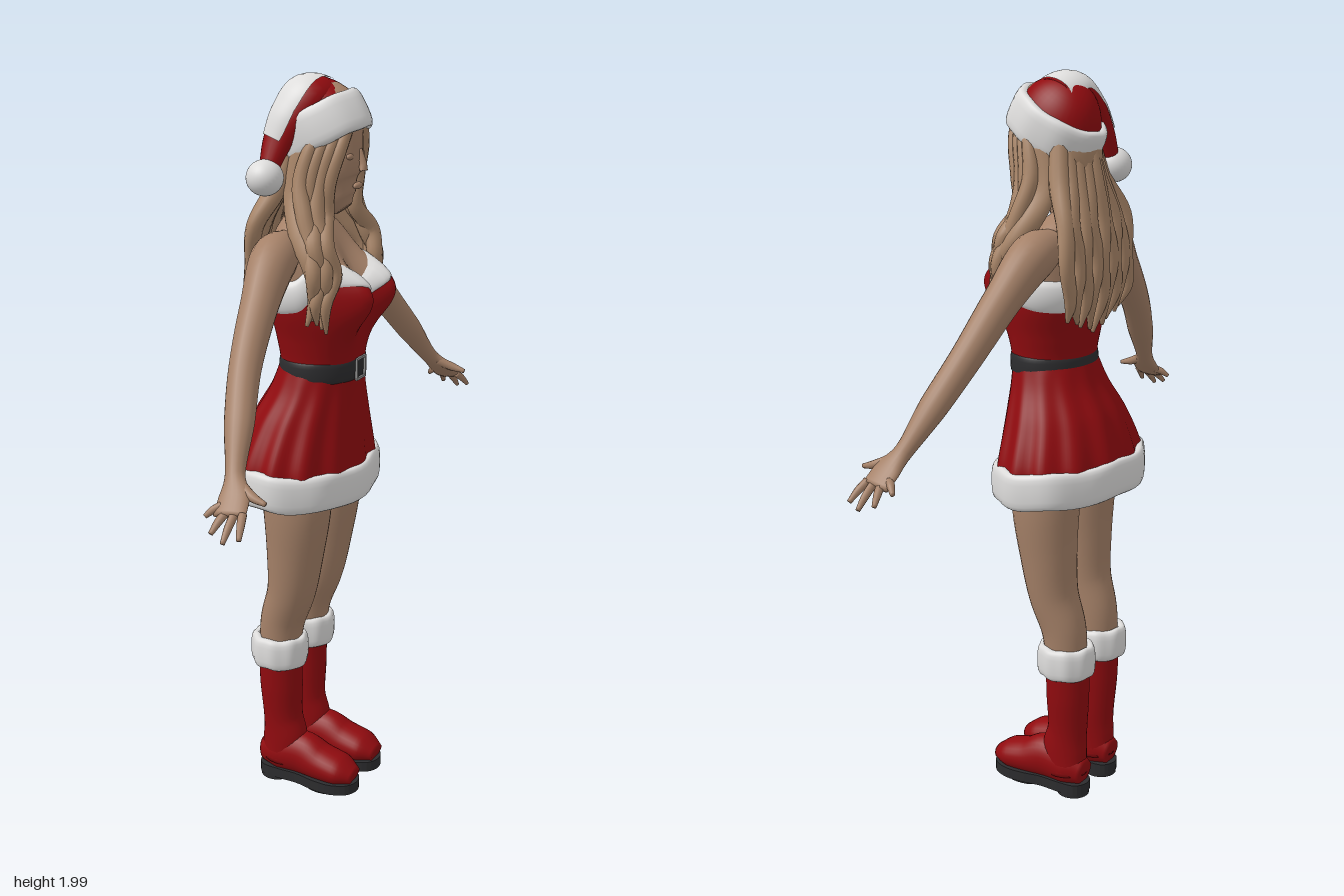
import * as THREE from 'three';

const material = (name, color, side = THREE.FrontSide) =>
  Object.assign(new THREE.MeshStandardMaterial({ color, side }), { name });

// Smooth interpolation through rows of [t, value, value, ...]
function key(rows, t) {
  let i = 0;
  while (i < rows.length - 2 && t > rows[i + 1][0]) i++;
  const p = rows[i], q = rows[i + 1], o = rows[i - 1] || p, r = rows[i + 2] || q;
  const h = q[0] - p[0], s = THREE.MathUtils.clamp((t - p[0]) / h, 0, 1);
  const s2 = s * s, s3 = s2 * s;
  return p.slice(1).map((a, k) => {
    const b = q[k + 1];
    const m = (b - o[k + 1]) / (q[0] - o[0]) * h, n = (r[k + 1] - a) / (r[0] - p[0]) * h;
    return (2 * s3 - 3 * s2 + 1) * a + (s3 - 2 * s2 + s) * m + (3 * s2 - 2 * s3) * b + (s3 - s2) * n;
  });
}

// Surface from f(u, j): u runs round (closed when wrap), j counts the rings
function grid(nu, nv, f, wrap = true) {
  const pos = [], idx = [], cols = wrap ? nu : nu + 1;
  for (let j = 0; j <= nv; j++) for (let i = 0; i < cols; i++) pos.push(...f(i / nu, j));
  for (let j = 0; j < nv; j++) for (let i = 0; i < nu; i++) {
    const a = j * cols + i, b = j * cols + (i + 1) % cols;
    idx.push(a, b, b + cols, a, b + cols, a + cols);
  }
  const g = new THREE.BufferGeometry();
  g.setAttribute('position', new THREE.Float32BufferAttribute(pos, 3));
  g.setIndex(idx);
  g.computeVertexNormals();
  return g;
}

// Tapered tube through [x, y, z, a, b]; a is the radius along ref, b across it
function sweep(pts, ref, { sides = 20, steps = 6, from = 0, arc = Math.PI * 2, grow = 0 } = {}) {
  const path = new THREE.CatmullRomCurve3(pts.map(p => new THREE.Vector3(p[0], p[1], p[2])));
  const rad = new THREE.CatmullRomCurve3(pts.map(p => new THREE.Vector3(p[3], p[4], 0)));
  const n = (pts.length - 1) * steps, full = arc > 6.28;
  const rings = [];
  for (let i = 0; i <= n; i++) {
    const t = i / n, T = path.getTangent(t), A = ref.clone().addScaledVector(T, -ref.dot(T)).normalize();
    rings.push({ c: path.getPoint(t), r: rad.getPoint(t), A, B: T.clone().cross(A) });
  }
  const ends = full ? 1 : 0;
  return grid(sides, n + 2 * ends, (u, j) => {
    const k = THREE.MathUtils.clamp(j - ends, 0, n), { c, r, A, B } = rings[k];
    const s = full && (j === 0 || j === n + 2) ? 0 : 1, w = from + u * arc;
    return c.clone().addScaledVector(A, s * (r.x + grow) * Math.cos(w))
      .addScaledVector(B, s * (r.y + grow) * Math.sin(w)).toArray();
  }, full);
}

// Oval ring point at height y from rows of [y, half width, back z, front z]
function oval(rows, w, y, grow = 0, pleat = 0) {
  const [rx, zb, zf] = key(rows, y), k = 1 + pleat * Math.cos(13 * w);
  return [(rx + grow) * k * Math.sin(w), y, (zb + zf) / 2 + ((zf - zb) / 2 + grow) * k * Math.cos(w)];
}

// Puffy band following an oval
function band(rx, zb, zf, thick, high, slant = 0, wave = 0) {
  return grid(56, 18, (u, j) => {
    const w = u * Math.PI * 2, p = -Math.PI + j / 18 * Math.PI * 2;
    const soft = v => Math.sign(v) * Math.abs(v) ** 0.7;
    const out = thick * soft(Math.cos(p)) + wave * Math.cos(9 * w);
    return [(rx + out) * Math.sin(w), high * soft(Math.sin(p)) - slant * Math.cos(w) + wave * Math.sin(7 * w),
      (zb + zf) / 2 + ((zf - zb) / 2 + out) * Math.cos(w)];
  });
}

const torsoRows = [[0.88, 0.05, -0.04, 0.04], [0.93, 0.165, -0.12, 0.1], [1.1, 0.14, -0.1, 0.11], [1.24, 0.12, -0.075, 0.123],
  [1.32, 0.13, -0.085, 0.125], [1.4, 0.148, -0.1, 0.12], [1.48, 0.153, -0.105, 0.1], [1.56, 0.148, -0.1, 0.07],
  [1.61, 0.11, -0.085, 0.04], [1.64, 0.055, -0.07, 0.015]];
const skirtRows = [[0.94, 0.238, -0.193, 0.143], [1, 0.228, -0.185, 0.137], [1.1, 0.185, -0.15, 0.13],
  [1.18, 0.146, -0.105, 0.126], [1.25, 0.123, -0.078, 0.125]];
const trimTop = [[0, 1.46], [0.45, 1.525], [0.9, 1.53], [1.4, 1.49], [Math.PI, 1.475]];
const trimLow = [[0, 1.41], [0.45, 1.472], [0.9, 1.465], [1.4, 1.405], [Math.PI, 1.385]];

// Torso surface with the bust added at the front
function torso(w, y, grow) {
  const p = oval(torsoRows, w, y, grow);
  const dy = (y - 1.455) / (y < 1.455 ? 0.1 : 0.075), dx = (Math.abs(p[0]) - 0.075) / 0.05;
  p[2] += 0.105 * Math.exp(-dx * dx - dy * dy) * Math.sqrt(Math.max(0, Math.cos(w)));
  return p;
}
function torsoPatch(low, high, rows, grow) {
  return grid(72, rows, (u, j) => {
    const w = u * Math.PI * 2, c = Math.min(w, Math.PI * 2 - w), v = j / rows;
    return torso(w, THREE.MathUtils.lerp(low(c), high(c), v), grow(v));
  });
}

export function createModel() {
  const skin = material('skin', 0xa58168), hair = material('hair', 0xa88568);
  const red = material('red cloth', 0x900b0f, THREE.DoubleSide), white = material('white fur', 0xdedddc, THREE.DoubleSide);
  const black = material('black leather', 0x2c2c2e), silver = material('buckle metal', 0x8c8c8c);
  const X = new THREE.Vector3(1, 0, 0), Z = new THREE.Vector3(0, 0, 1);
  const body = new THREE.Group();
  body.name = 'figure';
  const add = (name, geo, mat, x = 0, y = 0, z = 0, parent = body) => {
    const m = new THREE.Mesh(geo, mat);
    m.name = name;
    m.position.set(x, y, z);
    parent.add(m);
    return m;
  };
  const ball = (name, mat, x, y, z, rx, ry, rz) =>
    add(name, new THREE.SphereGeometry(1, 32, 20), mat, x, y, z).scale.set(rx, ry, rz);

  // Torso and dress
  add('torso', torsoPatch(() => 0.88, () => 1.64, 44, () => 0), skin);
  add('bodice', torsoPatch(() => 1.2, c => key(trimLow, c)[0] + 0.008, 24, () => 0.007), red);
  add('bodiceTrim', torsoPatch(c => key(trimLow, c)[0], c => key(trimTop, c)[0], 10,
    v => 0.001 + 0.015 * Math.sin(Math.PI * v) ** 0.5), white);
  add('skirt', grid(130, 18, (u, j) => {
    const y = 0.94 + j / 18 * 0.3;
    return oval(skirtRows, u * Math.PI * 2, y, 0.004, 0.035 * (1 - j / 18) ** 0.6);
  }), red);
  add('skirtHem', band(0.238, -0.193, 0.143, 0.017, 0.05, 0.01, 0.003), white, 0, 0.938, 0);
  add('belt', band(0.121, -0.073, 0.124, 0.012, 0.031), black, 0, 1.24, 0);
  const frame = new THREE.Shape([[-0.027, -0.03], [0.027, -0.03], [0.027, 0.03], [-0.027, 0.03]].map(p => new THREE.Vector2(...p)));
  frame.holes.push(new THREE.Path([[-0.021, -0.024], [-0.021, 0.024], [0.021, 0.024], [0.021, -0.024]].map(p => new THREE.Vector2(...p))));
  add('buckle', new THREE.ExtrudeGeometry(frame, { depth: 0.006, bevelEnabled: false }), silver, 0, 1.24, 0.134);

  // Neck, head and face
  add('neck', sweep([[0, 1.58, -0.03, 0.065, 0.05], [0, 1.65, -0.015, 0.045, 0.045], [0, 1.73, 0.005, 0.045, 0.05]], X), skin);
  add('head', sweep([[0, 1.655, 0.085, 0.02, 0.025], [0, 1.675, 0.07, 0.04, 0.052], [0, 1.72, 0.045, 0.062, 0.083],
    [0, 1.78, 0.035, 0.074, 0.097], [0, 1.85, 0.03, 0.078, 0.1], [0, 1.92, 0.02, 0.07, 0.09], [0, 1.96, 0.01, 0.04, 0.05]], X, { sides: 32 }), skin);
  add('nose', sweep([[0, 1.81, 0.126, 0.007, 0.008], [0, 1.775, 0.137, 0.009, 0.01], [0, 1.757, 0.139, 0.014, 0.01]], X, { sides: 12 }), skin);
  ball('lips', skin, 0, 1.718, 0.123, 0.022, 0.009, 0.009);

  // Hat: dome and brim tilt back together, the tail droops to the right
  const hat = new THREE.Group();
  hat.name = 'hat';
  hat.position.set(0, 1.855, 0.018);
  hat.rotation.x = -0.5;
  body.add(hat);
  add('hatDome', new THREE.SphereGeometry(1, 40, 14, 0, Math.PI * 2, 0, Math.PI / 2), red, 0, 0, 0, hat).scale.set(0.1, 0.13, 0.118);
  add('hatBrim', band(0.094, -0.117, 0.117, 0.018, 0.052, 0, 0.001), white, 0, 0, 0, hat);
  const tail = [[0.03, 1.925, 0.01, 0.07, 0.05], [-0.03, 1.935, 0, 0.068, 0.054], [-0.075, 1.895, -0.025, 0.055, 0.04],
    [-0.105, 1.83, -0.05, 0.04, 0.028], [-0.13, 1.765, -0.062, 0.026, 0.022]];
  add('hatTail', sweep(tail, Z), red);
  add('hatTailPatch', sweep(tail.slice(0, 4), Z, { from: Math.PI / 2 - 0.5, arc: 1.9, grow: 0.004 }), white);
  ball('pompom', white, -0.147, 1.745, -0.064, 0.048, 0.046, 0.048);

  // Hair: back cap and wavy back locks
  ball('hairCap', hair, 0, 1.79, -0.008, 0.094, 0.15, 0.098);
  for (let k = -4; k <= 4; k++) {
    const w = 0.008 * (k % 2 ? 1 : -1), e = Math.abs(k);
    add('backLock', sweep([[k * 0.017, 1.84, -0.07 + e * 0.009, 0.022, 0.025], [k * 0.024, 1.72, -0.095 + e * 0.01, 0.026, 0.028],
      [k * 0.034 + w, 1.62, -0.115 + e * 0.005, 0.027, 0.022], [k * 0.035 - w, 1.52, -0.128 + e * 0.004, 0.025, 0.018],
      [k * 0.034 + w, 1.43, -0.122 + e * 0.003, 0.02, 0.015], [k * 0.03 - w, 1.33 + 0.012 * e, -0.1, 0.005, 0.005]], X, { sides: 12 }), hair);
  }

  for (const s of [-1, 1]) {
    const tube = (name, pts, mat, ref, opt) => add(name, sweep(pts.map(([x, ...r]) => [s * x, ...r]), ref, opt), mat);
    ball('eyelid', skin, s * 0.03, 1.795, 0.116, 0.016, 0.009, 0.009);

    // Locks framing the face and falling outside the bust
    for (let i = 0; i < 4; i++) {
      const o = i * 0.011, w = i % 2 ? 0.012 : -0.006;
      tube('frontLock', [[0.025 + o, 1.895, 0.118 - o * 1.4, 0.015, 0.014], [0.063 + o, 1.82, 0.105 - o * 2, 0.018, 0.018],
        [0.083 + o, 1.73, 0.08 - o * 1.8, 0.02, 0.022], [0.09 + o + w, 1.65, 0.075 - o, 0.022, 0.022],
        [0.125 + o - w, 1.58, 0.1 - o, 0.024, 0.022], [0.125 + o + w, 1.51, 0.118 - o, 0.021, 0.02],
        [0.143 + o * 0.6 - w, 1.44, 0.11 - o, 0.017, 0.016], [0.138 + o * 0.4, 1.36 + o, 0.105 - o, 0.004, 0.004]], hair, X, { sides: 12 });
    }
    tube('sideLock', [[0.085, 1.82, 0.02, 0.02, 0.04], [0.095, 1.7, 0, 0.022, 0.04], [0.135, 1.6, 0.035, 0.03, 0.034],
      [0.155, 1.54, 0.07, 0.026, 0.026], [0.15, 1.47, 0.08, 0.016, 0.02], [0.158, 1.38, 0.06, 0.005, 0.005]], hair, X, { sides: 14 });

    // Arm with flat palm
    const handY = x => 1.11 - 0.88 * (x - 0.575);
    tube('arm', [[0.09, 1.57, -0.03, 0.045, 0.04], [0.175, 1.545, -0.025, 0.06, 0.062], [0.28, 1.455, -0.008, 0.048, 0.05],
      [0.4, 1.328, 0.018, 0.041, 0.041], [0.49, 1.22, 0.052, 0.038, 0.034], [0.57, 1.12, 0.085, 0.025, 0.021],
      [0.61, handY(0.61), 0.105, 0.04, 0.016], [0.648, handY(0.648), 0.113, 0.042, 0.012]], skin, Z);
    for (const [x, z, tx, tz] of [[0.64, 0.144, 0.69, 0.162], [0.645, 0.123, 0.702, 0.125], [0.64, 0.101, 0.688, 0.085], [0.63, 0.083, 0.657, 0.052]])
      tube('finger', [[x, handY(x), z, 0.011, 0.011], [(x + tx) / 2, handY((x + tx) / 2) + 0.003, (z + tz) / 2, 0.01, 0.01],
        [tx, handY(tx), tz, 0.006, 0.006]], skin, X, { sides: 10 });
    tube('thumb', [[0.582, handY(0.582), 0.105, 0.014, 0.014], [0.6, handY(0.6) - 0.004, 0.148, 0.013, 0.012],
      [0.605, handY(0.605) - 0.01, 0.186, 0.006, 0.006]], skin, X, { sides: 10 });

    // Leg
    tube('leg', [[0.08, 0.38, -0.068, 0.055, 0.056], [0.08, 0.5, -0.058, 0.062, 0.062], [0.084, 0.6, -0.027, 0.071, 0.067],
      [0.088, 0.72, -0.013, 0.079, 0.079], [0.09, 0.85, -0.006, 0.087, 0.094], [0.09, 0.96, -0.01, 0.085, 0.1]], skin, X, { sides: 28 });

    // Boot, cuff, sole and heel
    tube('bootShaft', [[0.072, 0.06, -0.062, 0.05, 0.062], [0.071, 0.13, -0.056, 0.05, 0.066], [0.07, 0.2, -0.064, 0.051, 0.057],
      [0.074, 0.3, -0.067, 0.057, 0.061], [0.076, 0.41, -0.068, 0.06, 0.062]], red, X, { sides: 28 });
    tube('bootFoot', [[0.072, 0.07, -0.122, 0.032, 0.036], [0.072, 0.08, -0.07, 0.05, 0.06], [0.072, 0.088, 0, 0.052, 0.065],
      [0.073, 0.075, 0.06, 0.057, 0.052], [0.073, 0.066, 0.12, 0.057, 0.042], [0.072, 0.055, 0.165, 0.032, 0.022]], red, X, { sides: 28 });
    add('bootCuff', band(0.062, -0.066, 0.066, 0.015, 0.045, 0, 0.0015), white, s * 0.081, 0.415, -0.067);
    const half = [[0.036, -0.115], [0.045, -0.06], [0.045, 0], [0.057, 0.06], [0.058, 0.115], [0.036, 0.16]];
    const outline = [[0, -0.132], ...half, [0, 0.174], ...half.slice().reverse().map(([x, z]) => [-x, z])];
    const curve = new THREE.CatmullRomCurve3(outline.map(([x, z]) => new THREE.Vector3(x, z, 0)), true);
    const print = new THREE.Shape(curve.getPoints(48).slice(0, -1).map(p => new THREE.Vector2(p.x, p.y)));
    const sole = new THREE.ExtrudeGeometry(print, { depth: 0.03, bevelEnabled: false }).rotateX(Math.PI / 2);
    add('sole', sole, black, s * 0.072, 0.041, 0);
    const heel = new THREE.CylinderGeometry(0.046, 0.046, 0.03, 28).scale(0.95, 1, 1);
    add('heel', heel, black, s * 0.072, 0.015, -0.084);
    add('forefootTread', new THREE.CylinderGeometry(0.052, 0.05, 0.012, 28).scale(1, 1, 1.4), black, s * 0.072, 0.008, 0.075);
  }

  // The figure looks along +x
  body.rotation.y = Math.PI / 2;
  const root = new THREE.Group();
  root.name = 'festiveFigure';
  root.add(body);
  return root;
}
